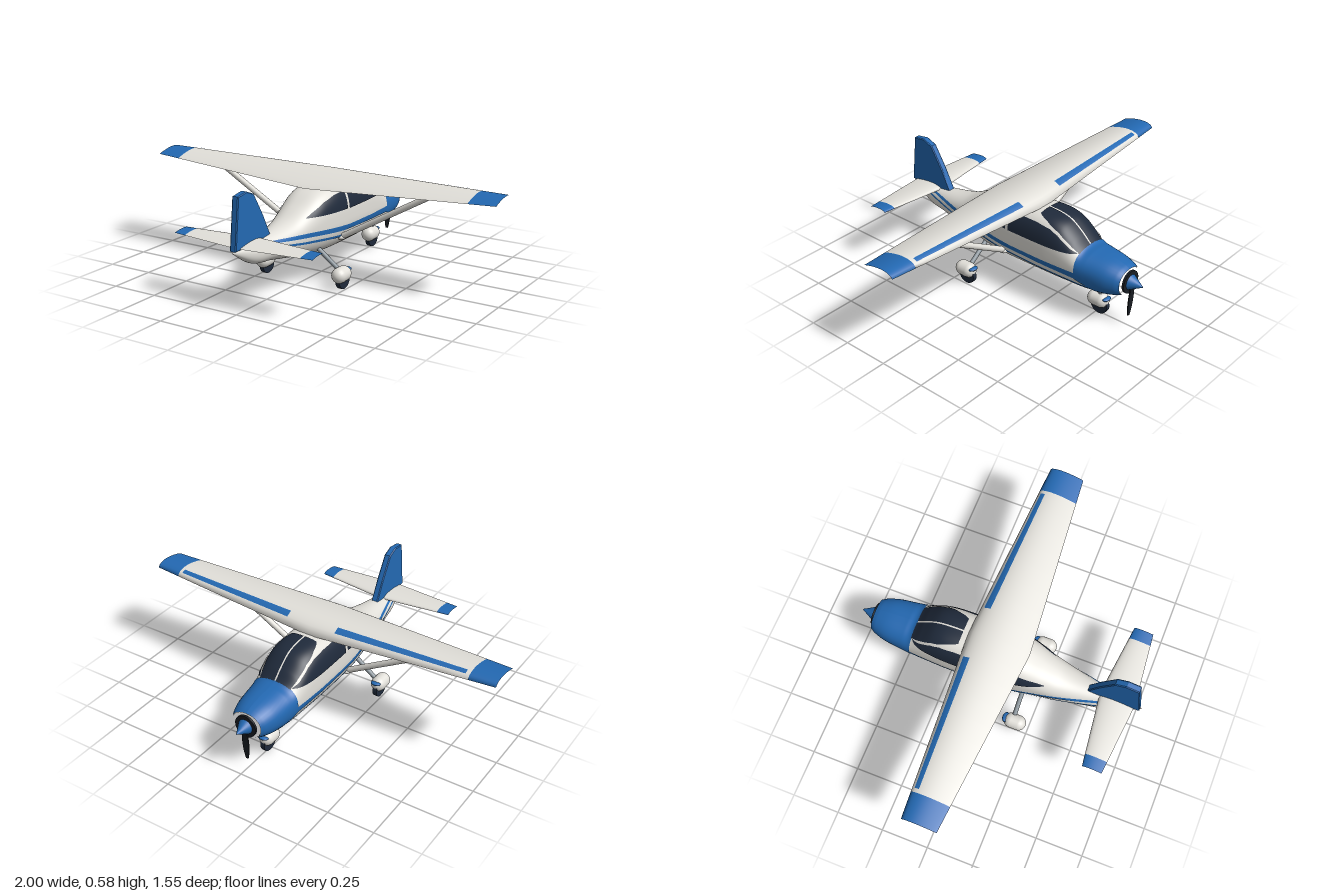
import * as THREE from 'three';
import { mergeVertices } from 'three/addons/utils/BufferGeometryUtils.js';

const paint = (name, color) => {
  const m = new THREE.MeshStandardMaterial({ color });
  m.name = name;
  return m;
};
const lerp = THREE.MathUtils.lerp;

// Fuselage stations: z, top, widest height, bottom, half width, squareness of upper half
const stations = [
  [-0.685, 0.325, 0.26, 0.195, 0.08, 2.2], [-0.66, 0.336, 0.26, 0.185, 0.094, 2.2],
  [-0.6, 0.35, 0.26, 0.17, 0.112, 2.3], [-0.5, 0.36, 0.265, 0.152, 0.125, 2.4],
  [-0.455, 0.366, 0.27, 0.148, 0.13, 2.5], [-0.4, 0.415, 0.28, 0.146, 0.135, 2.6],
  [-0.33, 0.465, 0.29, 0.143, 0.14, 2.8], [-0.25, 0.483, 0.295, 0.142, 0.144, 3],
  [-0.1, 0.485, 0.3, 0.14, 0.145, 3], [0.05, 0.483, 0.3, 0.14, 0.143, 3],
  [0.15, 0.462, 0.3, 0.145, 0.132, 2.8], [0.25, 0.41, 0.295, 0.158, 0.115, 2.4],
  [0.35, 0.364, 0.28, 0.175, 0.098, 2.2], [0.5, 0.336, 0.275, 0.202, 0.07, 2],
  [0.63, 0.326, 0.275, 0.222, 0.045, 2], [0.775, 0.313, 0.311, 0.309, 0.002, 2],
];

// Smooth interpolation between stations
function sectionAt(z) {
  let i = 0;
  while (i < stations.length - 2 && z > stations[i + 1][0]) i++;
  const p = stations[i], q = stations[i + 1];
  const o = stations[i - 1] || p, r = stations[i + 2] || q;
  const h = q[0] - p[0], t = (z - p[0]) / h, t2 = t * t, t3 = t2 * t;
  return p.map((a, k) => {
    const b = q[k];
    const ma = ((b - o[k]) / (q[0] - o[0])) * h, mb = ((r[k] - a) / (r[0] - p[0])) * h;
    return (2 * t3 - 3 * t2 + 1) * a + (t3 - 2 * t2 + t) * ma + (3 * t2 - 2 * t3) * b + (t3 - t2) * mb;
  });
}

// Point on the fuselage skin; angle runs from the top over the +x side
function skin(z, angle, off = 0) {
  const [, top, mid, bot, w, nUp] = sectionAt(z);
  const s = Math.sin(angle), c = Math.cos(angle), e = 2 / (c > 0 ? nUp : 2.2);
  const h = c > 0 ? top - mid : mid - bot;
  return [
    w * Math.sign(s) * Math.abs(s) ** e + off * s,
    mid + h * Math.sign(c) * Math.abs(c) ** e + off * c, z,
  ];
}

// Angle at which the skin has height y
function angleAt(z, y) {
  const [, top, mid, bot, , nUp] = sectionAt(z);
  const t = y > mid ? (y - mid) / (top - mid) : (y - mid) / (mid - bot);
  return Math.acos(Math.sign(t) * Math.min(1, Math.abs(t)) ** ((y > mid ? nUp : 2.2) / 2));
}

// Piecewise line through [z, y] points
function along(points) {
  return (z) => {
    let i = 0;
    while (i < points.length - 2 && z > points[i + 1][0]) i++;
    const [a, b] = [points[i], points[i + 1]];
    return lerp(a[1], b[1], (z - a[0]) / (b[0] - a[0]));
  };
}

// Surface from a rule fn(u, v), facing du x dv
function surface(fn, nu, nv, flip = false, merge = false) {
  const pos = [], idx = [];
  for (let i = 0; i <= nu; i++) for (let j = 0; j <= nv; j++) pos.push(...fn(i / nu, j / nv));
  for (let i = 0; i < nu; i++) for (let j = 0; j < nv; j++) {
    const a = i * (nv + 1) + j, b = a + nv + 1;
    if (flip) idx.push(a, a + 1, b, b, a + 1, b + 1);
    else idx.push(a, b, a + 1, b, b + 1, a + 1);
  }
  let g = new THREE.BufferGeometry();
  g.setAttribute('position', new THREE.Float32BufferAttribute(pos, 3));
  g.setIndex(idx);
  if (merge) g = mergeVertices(g, 1e-5);
  g.computeVertexNormals();
  return g;
}

export function createModel() {
  const model = new THREE.Group();
  model.name = 'lightAircraft';
  const white = paint('white', 0xe2e0da), blue = paint('blue', 0x2369b3);
  const navy = paint('darkGlass', 0x1f2a3b), black = paint('black', 0x191d23);
  const steel = paint('steel', 0x8b959c);
  const add = (name, geo, mat, parent = model) => {
    const m = new THREE.Mesh(geo, mat);
    m.name = name;
    parent.add(m);
    return m;
  };
  const rod = (name, a, b, r, mat) => {
    const [p, q] = [new THREE.Vector3(...a), new THREE.Vector3(...b)];
    const m = add(name, new THREE.CylinderGeometry(r, r, p.distanceTo(q), 14), mat);
    m.position.copy(p).lerp(q, 0.5);
    m.quaternion.setFromUnitVectors(new THREE.Vector3(0, 1, 0), q.sub(p).normalize());
  };

  // Fuselage
  add('fuselage', surface((u, v) => skin(lerp(-0.685, 0.775, u), v * Math.PI * 2), 140, 72, false, true), white);
  add('noseFace', surface((u, v) => {
    const [x, y] = skin(-0.685, v * Math.PI * 2, 0.004);
    return [x * u, lerp(0.26, y, u), -0.686];
  }, 1, 48, true), blue);

  // Painted panels on both flanks: between an upper and a lower edge angle
  const panel = (name, mat, z0, z1, upper, lower, off = 0.004) => {
    for (const side of [1, -1]) add(name, surface((u, v) => {
      const z = lerp(z0, z1, u), p = skin(z, lerp(upper(z), lower(z), v), off);
      return [p[0] * side, p[1], p[2]];
    }, 48, 14, side < 0), mat);
  };
  const edge = (...pts) => {
    const f = along(pts);
    return (z) => angleAt(z, f(z));
  };
  panel('cowling', blue, -0.686, -0.447, () => 0,
    edge([-0.686, 0.197], [-0.6, 0.183], [-0.55, 0.193], [-0.5, 0.215], [-0.447, 0.235]));
  panel('windshield', navy, -0.45, -0.19,
    (z) => { const s = sectionAt(z); return (0.004 / s[4]) ** (s[5] / 2); },
    edge([-0.45, 0.352], [-0.4, 0.388], [-0.33, 0.435], [-0.25, 0.465], [-0.19, 0.478]));
  panel('frontSideWindow', navy, -0.44, -0.035,
    edge([-0.44, 0.358], [-0.4, 0.378], [-0.33, 0.423], [-0.28, 0.442], [-0.2, 0.451], [-0.035, 0.451]),
    edge([-0.44, 0.356], [-0.035, 0.356]));
  panel('rearSideWindow', navy, -0.018, 0.28,
    edge([-0.018, 0.447], [0.07, 0.442], [0.15, 0.422], [0.22, 0.392], [0.28, 0.367]),
    edge([-0.018, 0.358], [0.28, 0.366]));
  panel('upperStripe', blue, -0.45, 0.61,
    edge([-0.45, 0.268], [-0.05, 0.272], [0.3, 0.3], [0.61, 0.316]),
    edge([-0.45, 0.235], [0, 0.249], [0.3, 0.278], [0.61, 0.309]), 0.003);
  panel('lowerStripe', blue, -0.58, 0.61,
    edge([-0.58, 0.208], [-0.2, 0.217], [0, 0.228], [0.3, 0.258], [0.61, 0.298]),
    edge([-0.58, 0.195], [-0.2, 0.204], [0, 0.214], [0.3, 0.246], [0.61, 0.29]), 0.003);

  // Wing and tailplane share one lifting-surface builder
  const lifting = (name, d) => {
    const pt = (x, c, up) => {
      const k = Math.abs(x) / d.span;
      const f = Math.max(0, Math.sin(Math.PI * c ** 0.65)) ** 0.8;
      return [x, lerp(d.y[0], d.y[1], k) + lerp(d.thick[0], d.thick[1], k) * f * (up ? 1 : 0.05),
        lerp(lerp(d.lead[0], d.lead[1], k), lerp(d.trail[0], d.trail[1], k), c)];
    };
    const part = (label, mat, x0, x1) => add(label, surface((u, v) =>
      pt(lerp(x0, x1, u), Math.abs(1 - 2 * v), v < 0.5), 16, 48), mat);
    part(name, white, -d.tip, d.tip);
    for (const s of [1, -1]) {
      part(name + 'Tip', blue, s > 0 ? d.tip : -d.span, s > 0 ? d.span : -d.tip);
      add(name + 'TipCap', surface((u, v) => {
        const a = pt(s * d.span, u, true), b = pt(s * d.span, u, false);
        return [a[0], lerp(a[1], b[1], v), a[2]];
      }, 24, 1, s > 0), blue);
    }
    return pt;
  };
  const wing = lifting('wing', {
    span: 1, tip: 0.86, y: [0.482, 0.519], thick: [0.063, 0.025], lead: [-0.165, -0.102], trail: [0.165, 0.08],
  });
  for (const [x0, x1] of [[-0.84, -0.14], [0.14, 0.84]]) {
    add('wingStripe', surface((u, v) => {
      const p = wing(lerp(x0, x1, u), lerp(0.18, 0.07, v), true);
      return [p[0], p[1] + 0.003, p[2]];
    }, 8, 6), blue);
  }
  lifting('tailplane', {
    span: 0.395, tip: 0.33, y: [0.322, 0.326], thick: [0.018, 0.01], lead: [0.55, 0.597], trail: [0.738, 0.7],
  });

  // Fin, drawn as (-z, y) and turned into the centre plane
  const fin = new THREE.Shape([[0.483, 0.318], [0.545, 0.44], [0.617, 0.558], [0.672, 0.58], [0.735, 0.57], [0.762, 0.318]]
    .map(([z, y]) => new THREE.Vector2(-z, y)));
  const finGeo = new THREE.ExtrudeGeometry(fin, { depth: 0.026, bevelSize: 0.004, bevelThickness: 0.005, bevelSegments: 1 });
  add('fin', finGeo.translate(0, 0, -0.013).rotateY(Math.PI / 2), blue);

  // Propeller
  const disc = add('propellerPlate', new THREE.CylinderGeometry(0.06, 0.06, 0.012, 32).rotateX(Math.PI / 2), black);
  disc.position.set(0, 0.257, -0.692);
  const cone = add('spinner', new THREE.ConeGeometry(0.042, 0.077, 32).rotateX(-Math.PI / 2), blue);
  cone.position.set(0, 0.257, -0.733);
  const bladeShape = new THREE.Shape();
  bladeShape.moveTo(-0.008, 0.02);
  bladeShape.bezierCurveTo(-0.026, -0.06, -0.02, -0.13, -0.006, -0.185);
  bladeShape.lineTo(0.006, -0.185);
  bladeShape.bezierCurveTo(0.02, -0.13, 0.022, -0.06, 0.008, 0.02);
  const blade = add('propellerBlade', new THREE.ExtrudeGeometry(bladeShape, { depth: 0.006, bevelEnabled: false }), black);
  blade.position.set(0, 0.245, -0.711);
  blade.rotation.x = -0.08;

  // Wing struts with rounded ends
  for (const s of [1, -1]) {
    const a = [s * 0.125, 0.212, 0.01], b = [s * 0.63, 0.5, 0.01];
    rod('wingStrut', a, b, 0.016, white);
    for (const p of [a, b]) {
      const knob = add('strutEnd', new THREE.SphereGeometry(0.026, 18, 12), white);
      knob.position.set(...p);
      knob.scale.y = 0.6;
    }
  }

  // Landing gear
  const wheelUnit = (name, x, z) => {
    const g = new THREE.Group();
    g.name = name;
    g.position.set(x, 0, z);
    model.add(g);
    add('wheel', new THREE.CylinderGeometry(0.05, 0.05, 0.024, 16).rotateZ(Math.PI / 2), navy, g).position.y = 0.05;
    const fairing = add('fairing', new THREE.CapsuleGeometry(0.04, 0.04, 8, 20).rotateX(Math.PI / 2), white, g);
    fairing.position.set(0, 0.077, 0.012);
    const flash = add('fairingFlash', new THREE.SphereGeometry(1, 14, 10), blue, g);
    flash.scale.set(0.028, 0.009, 0.019);
    flash.position.set(0, 0.096, -0.038);
  };
  wheelUnit('noseWheel', 0, -0.52);
  rod('noseLeg', [0, 0.19, -0.52], [0, 0.1, -0.52], 0.012, steel);
  for (const s of [1, -1]) {
    wheelUnit('mainWheel', s * 0.23, 0.168);
    rod('mainLeg', [s * 0.08, 0.19, 0.168], [s * 0.215, 0.09, 0.168], 0.012, steel);
  }
  return model;
}
